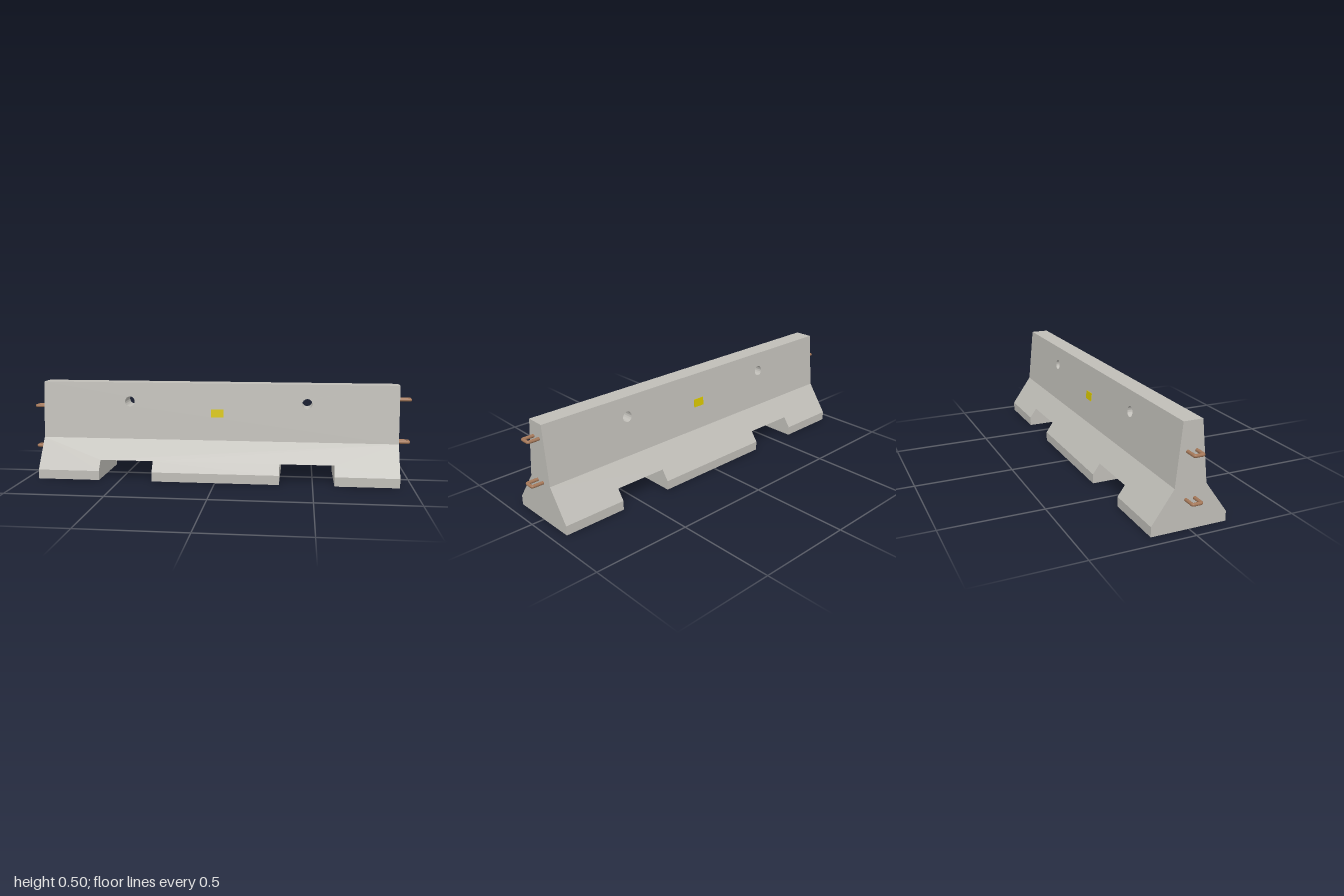
import * as THREE from 'three';
import { mergeGeometries, toCreasedNormals } from 'three/addons/utils/BufferGeometryUtils.js';

const END = 0.935, NOTCH_IN = 0.33, NOTCH_OUT = 0.61, NOTCH_TOP = 0.1;
const FOOT = 0.048, WAIST = 0.203, TOP = 0.5;
// Cross-section: [height, half thickness]
const PROFILE = [[0, 0.187], [FOOT, 0.187], [WAIST, 0.078], [TOP, 0.047]];

function halfThickness(y) {
  for (let i = 1; i < PROFILE.length; i++) {
    const [y0, h0] = PROFILE[i - 1], [y1, h1] = PROFILE[i];
    if (y <= y1 + 1e-5) return h0 + (h1 - h0) * (y - y0) / (y1 - y0);
  }
  return PROFILE[PROFILE.length - 1][1];
}

const polygon = (pts) => new THREE.Shape(pts.map(([x, y]) => new THREE.Vector2(x, y)));
const rect = (x0, x1, y0, y1) => polygon([[x0, y0], [x1, y0], [x1, y1], [x0, y1]]);

// Extrudes an elevation band and squeezes its depth to follow the cross-section
function band(shape) {
  const geo = new THREE.ExtrudeGeometry(shape, { depth: 1, bevelEnabled: false, curveSegments: 32 });
  const src = geo.index ? geo.toNonIndexed() : geo;
  const p = src.attributes.position, out = [];
  for (let i = 0; i < p.count; i += 3) {
    // Leave out the hidden caps where bands meet
    const capAt = (h) => [0, 1, 2].every((k) => Math.abs(p.getY(i + k) - h) < 1e-5);
    if (capAt(FOOT) || capAt(WAIST)) continue;
    for (let k = i; k < i + 3; k++) {
      const y = p.getY(k);
      out.push(p.getX(k), y, (p.getZ(k) - 0.5) * 2 * halfThickness(y));
    }
  }
  const result = new THREE.BufferGeometry();
  result.setAttribute('position', new THREE.Float32BufferAttribute(out, 3));
  return result;
}

function barrierGeometry() {
  // Feet between the notches
  const feet = [[-END, -NOTCH_OUT], [-NOTCH_IN, NOTCH_IN], [NOTCH_OUT, END]]
    .map(([a, b]) => rect(a, b, 0, FOOT));

  // Sloping skirt with the notch tops
  const half = [[NOTCH_IN, FOOT], [NOTCH_IN, NOTCH_TOP], [NOTCH_OUT, NOTCH_TOP],
    [NOTCH_OUT, FOOT], [END, FOOT], [END, WAIST]];
  const skirt = polygon([...half, ...half.map(([x, y]) => [-x, y]).reverse()]);

  // Upper wall with two lifting holes
  const wall = rect(-END, END, WAIST, TOP);
  for (const x of [-0.467, 0.467]) {
    const hole = new THREE.Path();
    hole.absarc(x, 0.4, 0.026, 0, Math.PI * 2, true);
    wall.holes.push(hole);
  }
  return toCreasedNormals(mergeGeometries([...feet, skirt, wall].map(band)), 0.3);
}

// U-shaped bar lying flat, pointing to +x
function loopGeometry() {
  const r = 0.008, x0 = END - 0.01, x1 = 1 - r, z = 0.03 - r, c = 0.006;
  const v = (x, zz) => new THREE.Vector3(x, 0, zz);
  const path = new THREE.CurvePath();
  path.add(new THREE.LineCurve3(v(x0, z), v(x1 - c, z)));
  path.add(new THREE.QuadraticBezierCurve3(v(x1 - c, z), v(x1, z), v(x1, z - c)));
  path.add(new THREE.LineCurve3(v(x1, z - c), v(x1, c - z)));
  path.add(new THREE.QuadraticBezierCurve3(v(x1, c - z), v(x1, -z), v(x1 - c, -z)));
  path.add(new THREE.LineCurve3(v(x1 - c, -z), v(x0, -z)));
  return new THREE.TubeGeometry(path, 64, r, 12, false);
}

export function createModel() {
  const material = (name, color) => {
    const m = new THREE.MeshStandardMaterial({ color });
    m.name = name;
    return m;
  };
  const concrete = material('concrete', 0xc0beb8);
  const rust = material('rustySteel', 0xa47758);
  const yellow = material('yellowReflector', 0xd6c400);

  const model = new THREE.Group();
  model.name = 'concreteBarrier';
  const add = (name, geometry, mat) => {
    const mesh = new THREE.Mesh(geometry, mat);
    mesh.name = name;
    model.add(mesh);
    return mesh;
  };

  add('barrierBody', barrierGeometry(), concrete);

  // Connecting loops, staggered in height between the two ends
  const loop = loopGeometry();
  for (const [name, y, turn] of [
    ['leftUpperLoop', 0.425, 0], ['leftLowerLoop', 0.204, 0],
    ['rightUpperLoop', 0.364, Math.PI], ['rightLowerLoop', 0.144, Math.PI],
  ]) {
    const mesh = add(name, loop, rust);
    mesh.position.y = y;
    mesh.rotation.y = turn;
  }

  // Reflector plates lying on both sloped faces
  const tilt = Math.atan((0.078 - 0.047) / (TOP - WAIST));
  const plate = new THREE.BoxGeometry(0.064, 0.042, 0.006).rotateX(-tilt)
    .translate(0, 0.345, halfThickness(0.345));
  add('frontReflector', plate, yellow);
  add('backReflector', plate, yellow).rotation.y = Math.PI;

  return model;
}
